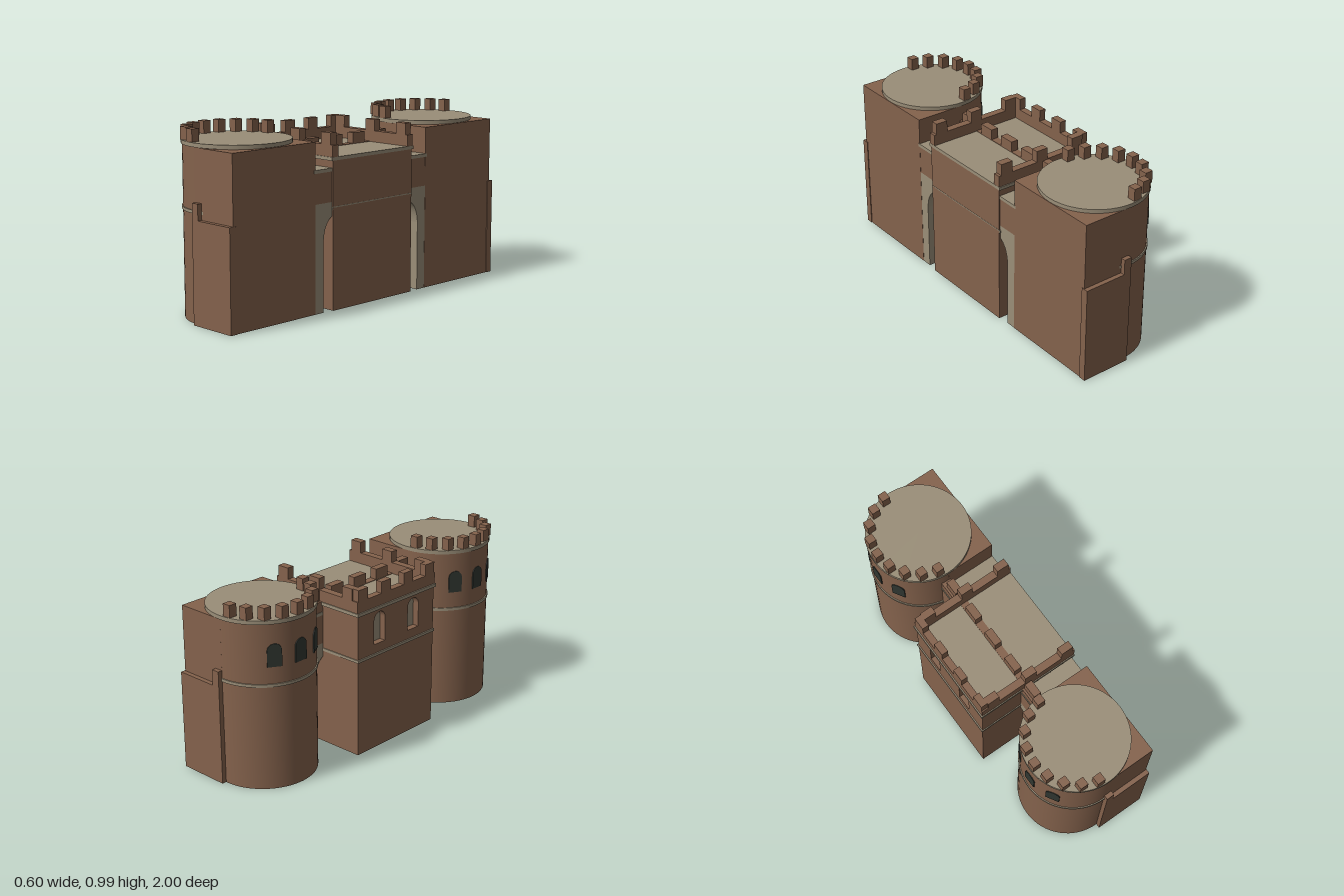
import * as THREE from 'three';

const mat = (name, color) => {
  const m = new THREE.MeshStandardMaterial({ color });
  m.name = name;
  return m;
};

export function createModel() {
  const brick = mat('brown brick', 0x84624c);
  const stone = mat('pale stone', 0x9a8e78);
  const dark = mat('dark window', 0x303631);
  const castle = new THREE.Group();
  castle.name = 'castleGatehouse';

  const add = (parent, name, geometry, material) => {
    const mesh = new THREE.Mesh(geometry, material);
    mesh.name = name;
    parent.add(mesh);
    return mesh;
  };
  // box given by its minimum and maximum on each axis
  const box = (parent, name, material, x0, x1, y0, y1, z0, z1) => {
    const mesh = add(parent, name, new THREE.BoxGeometry(x1 - x0, y1 - y0, z1 - z0), material);
    mesh.position.set((x0 + x1) / 2, (y0 + y1) / 2, (z0 + z1) / 2);
    return mesh;
  };
  const drum = (parent, name, material, r, y0, y1) => {
    const mesh = add(parent, name, new THREE.CylinderGeometry(r, r, y1 - y0, 64), material);
    mesh.position.y = (y0 + y1) / 2;
    return mesh;
  };
  // round-headed opening outline
  const archOutline = (path, cx, y0, y1, w) => {
    const r = w / 2;
    path.moveTo(cx - r, y0);
    path.lineTo(cx + r, y0);
    path.lineTo(cx + r, y1 - r);
    path.absarc(cx, y1 - r, r, 0, Math.PI, false);
    path.lineTo(cx - r, y0);
    return path;
  };
  const extrude = (shape, depth) =>
    new THREE.ExtrudeGeometry(shape, { depth, bevelEnabled: false, curveSegments: 16 });

  // towers: round on the outer side, square on the courtyard side
  for (const s of [1, -1]) {
    const tower = new THREE.Group();
    tower.name = s > 0 ? 'frontTower' : 'backTower';
    tower.position.set(0.003, 0, s * 0.698);
    castle.add(tower);
    drum(tower, 'towerShaft', brick, 0.277, 0, 0.902);
    drum(tower, 'towerStringCourse', stone, 0.283, 0.568, 0.584);
    drum(tower, 'towerRoof', stone, 0.283, 0.902, 0.923);

    for (let i = 0; i < 9; i++) {
      const a = THREE.MathUtils.degToRad(100 + i * 20);
      const merlon = add(tower, 'towerMerlon', new THREE.BoxGeometry(0.046, 0.066, 0.046), brick);
      merlon.position.set(Math.cos(a) * 0.256, 0.956, Math.sin(a) * 0.256);
    }
    for (const deg of [-31, 0, 31]) {
      const t = THREE.MathUtils.degToRad(deg);
      const plate = extrude(archOutline(new THREE.Shape(), 0, 0.675, 0.798, 0.076), 0.008);
      plate.translate(0, 0, 0.272);
      add(tower, 'towerWindow', plate, dark).rotation.y = t - Math.PI / 2;
    }

    // square rear, with a thicker lower wall and a small end post
    const span = (name, x0, x1, y0, y1, a, b) =>
      box(castle, name, brick, x0, x1, y0, y1, Math.min(s * a, s * b), Math.max(s * a, s * b));
    span('towerRear', 0.005, 0.286, 0, 0.9, 0.42, 0.975);
    span('towerLowerWall', 0.005, 0.29, 0, 0.54, 0.96, 1);
    span('towerEndPost', 0.005, 0.05, 0, 0.625, 0.96, 1);

    // passage between tower and gatehouse, with a half arch
    const arch = new THREE.Shape();
    arch.moveTo(s * 0.425, 0);
    arch.lineTo(s * 0.425, 0.577);
    arch.lineTo(s * 0.295, 0.577);
    arch.lineTo(s * 0.295, 0.505);
    arch.quadraticCurveTo(s * 0.355, 0.475, s * 0.361, 0.38);
    arch.lineTo(s * 0.361, 0);
    const passage = add(castle, 'passageArch', extrude(arch, 0.325), stone);
    passage.rotation.y = -Math.PI / 2;
    passage.position.x = 0.285;
    span('passageWall', -0.04, 0.285, 0.577, 0.737, 0.29, 0.43);
    span('passageRoof', -0.043, 0.288, 0.737, 0.755, 0.29, 0.43).material = stone;
    span('passageParapet', -0.04, 0.015, 0.755, 0.812, 0.29, 0.43);
    span('passageMerlon', -0.028, 0.015, 0.812, 0.872, 0.31, 0.392);
  }

  // gatehouse body and its recessed windows
  box(castle, 'gatehouseBody', brick, -0.25, 0.293, 0, 0.8, -0.3, 0.3);
  box(castle, 'gatehouseLowerWall', brick, -0.29, -0.25, 0, 0.545, -0.3, 0.3);
  const wall = new THREE.Shape();
  wall.moveTo(-0.3, 0.545);
  wall.lineTo(0.3, 0.545);
  wall.lineTo(0.3, 0.8);
  wall.lineTo(-0.3, 0.8);
  wall.closePath();
  for (const z of [-0.133, 0.133]) {
    wall.holes.push(archOutline(new THREE.Path(), z, 0.6, 0.775, 0.086));
    box(castle, 'windowBack', stone, -0.254, -0.249, 0.59, 0.785, z - 0.05, z + 0.05);
  }
  const windowWall = add(castle, 'gatehouseWindowWall', extrude(wall, 0.04), brick);
  windowWall.rotation.y = -Math.PI / 2;
  windowWall.position.x = -0.25;

  // stone courses and roof
  box(castle, 'lowerCourseOuter', stone, -0.297, -0.28, 0.535, 0.55, -0.305, 0.305);
  for (const s of [1, -1]) {
    box(castle, 'lowerCourseSide', stone, -0.297, 0.292, 0.535, 0.55, s * 0.3 - 0.005, s * 0.3 + 0.005);
  }
  box(castle, 'lowerCourseInner', stone, 0.285, 0.294, 0.547, 0.553, -0.3, 0.3);
  box(castle, 'gatehouseRoof', stone, -0.3, 0.296, 0.793, 0.811, -0.31, 0.31);

  // parapet on three sides with merlons
  box(castle, 'outerParapet', brick, -0.293, -0.255, 0.811, 0.873, -0.305, 0.305);
  for (const z of [-0.262, -0.087, 0.087, 0.262]) {
    box(castle, 'outerMerlon', brick, -0.293, -0.255, 0.873, 0.936, z - 0.036, z + 0.036);
  }
  for (const s of [1, -1]) {
    const z0 = s * 0.284 - 0.021, z1 = s * 0.284 + 0.021;
    box(castle, 'sideParapet', brick, -0.255, 0.295, 0.811, 0.873, z0, z1);
    for (const x of [-0.22, 0.015, 0.245]) {
      box(castle, 'sideMerlon', brick, x - 0.035, x + 0.035, 0.873, 0.936, z0, z1);
    }
  }

  // wall walk across the roof
  box(castle, 'roofWallWalk', brick, -0.028, 0.015, 0.8, 0.814, -0.264, 0.264);
  for (const z of [-0.175, 0, 0.175]) {
    box(castle, 'roofMerlon', brick, -0.028, 0.015, 0.814, 0.872, z - 0.046, z + 0.046);
  }
  return castle;
}
